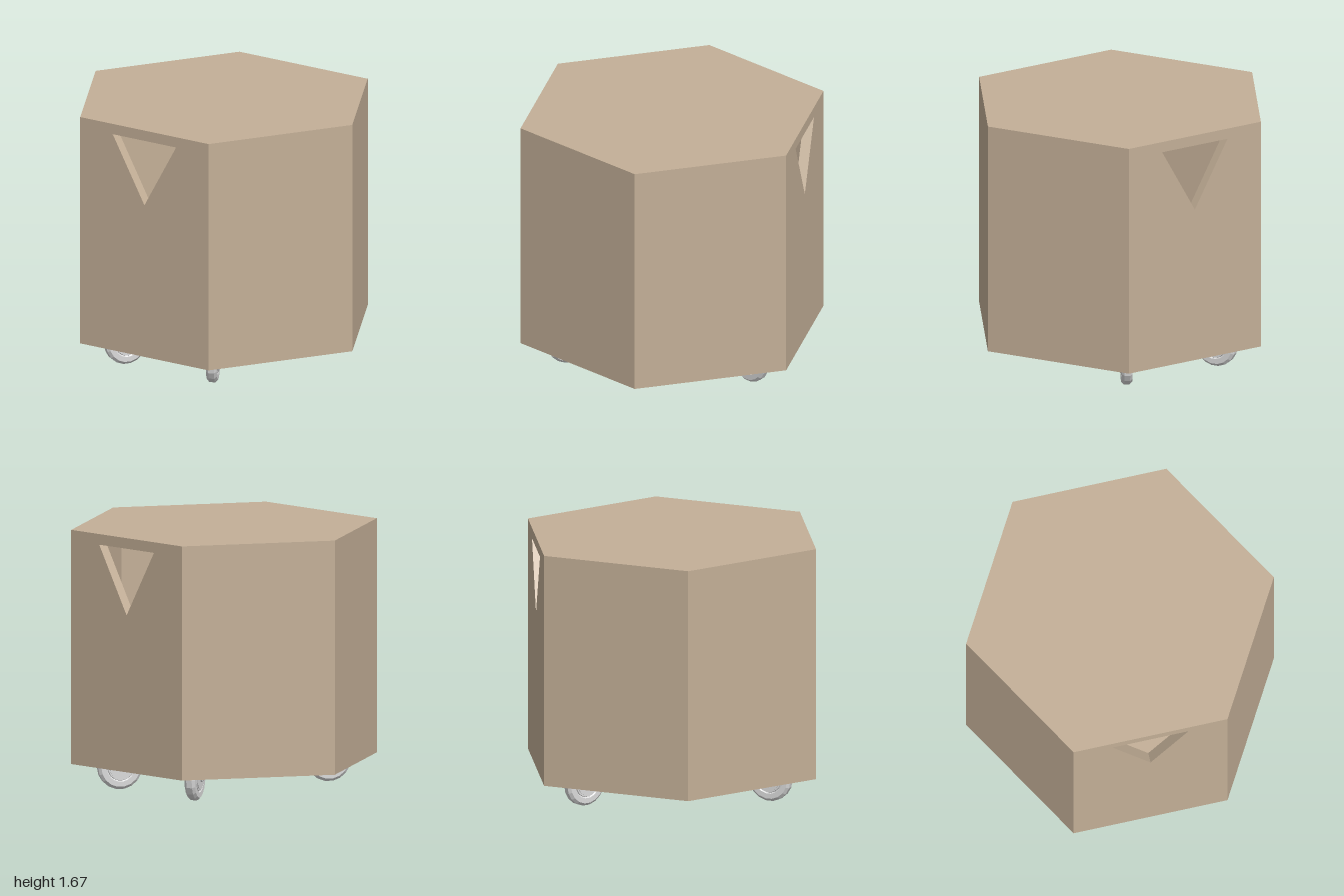
import * as THREE from 'three';

const BOTTOM = 0.17, TOP = 1.67, T = 0.065;
const APOTHEM = Math.sqrt(3) / 2;
const INNER = 1 - T / APOTHEM; // circumradius inside the walls

const tan = new THREE.MeshStandardMaterial({ color: 0xc3af97, flatShading: true });
tan.name = 'tan board';
const grey = new THREE.MeshStandardMaterial({ color: 0xdadada, flatShading: true });
grey.name = 'light grey metal';

function add(parent, name, geometry, material, x = 0, y = 0, z = 0) {
  const mesh = new THREE.Mesh(geometry, material);
  mesh.name = name;
  mesh.position.set(x, y, z);
  parent.add(mesh);
  return mesh;
}

// One side board with mitred ends, optionally pierced by a triangular handle
function wallGeometry(withHandle) {
  const shape = new THREE.Shape([
    new THREE.Vector2(-0.5, BOTTOM), new THREE.Vector2(0.5, BOTTOM),
    new THREE.Vector2(0.5, TOP), new THREE.Vector2(-0.5, TOP),
  ]);
  if (withHandle) {
    shape.holes.push(new THREE.Path([
      new THREE.Vector2(-0.247, 1.602), new THREE.Vector2(0.247, 1.602), new THREE.Vector2(0, 1.175),
    ]));
  }
  const geometry = new THREE.ExtrudeGeometry(shape, { depth: T, bevelEnabled: false });
  const p = geometry.attributes.position;
  for (let i = 0; i < p.count; i++) {
    if (p.getZ(i) < T / 2 && Math.abs(p.getX(i)) > 0.49) p.setX(i, Math.sign(p.getX(i)) * INNER / 2);
  }
  geometry.translate(0, 0, APOTHEM - T);
  geometry.computeVertexNormals();
  return geometry;
}

// Hexagonal panel fitted between the walls
function panelGeometry(thickness) {
  return new THREE.CylinderGeometry(INNER, INNER, thickness, 6, 1, false, Math.PI / 6);
}

// Swivel caster; local +z points outwards, the wheel turns about local x
function createCaster() {
  const caster = new THREE.Group();
  caster.name = 'caster';
  const R = 0.145;

  // Tyre with bevelled shoulders and stepped hub discs
  const profile = [
    [0, -0.034], [0.085, -0.034], [0.088, -0.028], [0.095, -0.034], [0.128, -0.034], [R, -0.018],
    [R, 0.018], [0.128, 0.034], [0.095, 0.034], [0.088, 0.028], [0.085, 0.034], [0, 0.034],
  ].map(([r, y]) => new THREE.Vector2(r, y));
  add(caster, 'wheel', new THREE.LatheGeometry(profile, 18), grey, 0, R, 0).rotation.z = Math.PI / 2;
  add(caster, 'hub', new THREE.CylinderGeometry(0.075, 0.075, 0.078, 16), grey, 0, R, 0).rotation.z = Math.PI / 2;
  add(caster, 'axle', new THREE.CylinderGeometry(0.016, 0.016, 0.125, 10), grey, 0, R, 0).rotation.z = Math.PI / 2;

  // Tapered fork cheeks leaning inwards to the swivel plate
  const cheek = new THREE.Shape();
  cheek.moveTo(-0.15, 0.32);
  cheek.lineTo(-0.028, R - 0.005);
  cheek.absarc(0, R, 0.028, Math.PI, Math.PI * 2, false);
  cheek.lineTo(0.02, 0.32);
  cheek.closePath();
  const cheekGeometry = new THREE.ExtrudeGeometry(cheek, { depth: 0.012, bevelEnabled: false, curveSegments: 6 });
  cheekGeometry.rotateY(-Math.PI / 2);
  for (const x of [-0.042, 0.054]) add(caster, 'forkCheek', cheekGeometry, grey, x);
  add(caster, 'forkCrown', new THREE.BoxGeometry(0.108, 0.018, 0.17), grey, 0, 0.318, -0.065);
  return caster;
}

export function createModel() {
  const model = new THREE.Group();
  model.name = 'hexagonalRollingBox';

  // Six side boards, handles at front and back
  const plain = wallGeometry(false), pierced = wallGeometry(true);
  for (let k = 0; k < 6; k++) {
    const holed = k % 3 === 0;
    add(model, holed ? 'handleWall' : 'sideWall', holed ? pierced : plain, tan).rotation.y = k * Math.PI / 3;
  }

  // Lid and raised floor
  add(model, 'lid', panelGeometry(T), tan, 0, TOP - T / 2, 0);
  add(model, 'floor', panelGeometry(T), tan, 0, 0.327 + T / 2, 0);

  // Four casters pointing out towards the corners
  for (const sx of [-1, 1]) {
    for (const sz of [-1, 1]) {
      const caster = createCaster();
      caster.position.set(sx * 0.34, 0, sz * 0.593);
      caster.rotation.y = Math.atan2(sx * 0.5, sz * APOTHEM);
      model.add(caster);
    }
  }
  return model;
}
